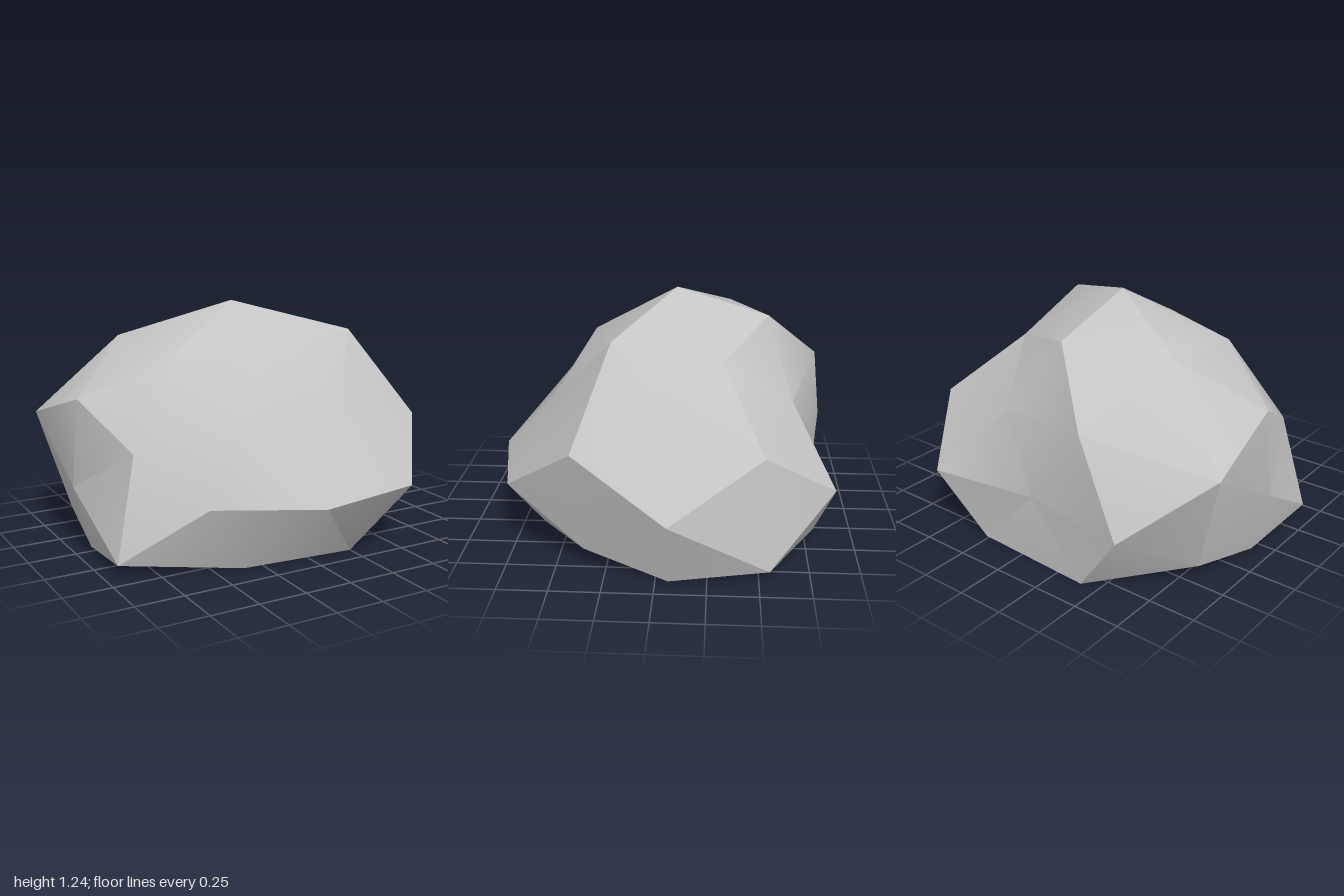
import * as THREE from 'three';
import { toCreasedNormals } from 'three/addons/utils/BufferGeometryUtils.js';

// Radius factor for each direction of a subdivided icosahedron.
// Keys are the unit direction in tenths: "x y z".
const radius = {
  // crown
  '0 10 0': 1.0, '0 9 5': 0.875, '0 9 -5': 0.98,
  '5 8 3': 1.02, '5 8 -3': 0.85, '-5 8 3': 0.895, '-5 8 -3': 0.98,
  // shoulders
  '9 5 0': 0.81, '-9 5 0': 0.95,
  '3 5 8': 0.825, '-3 5 8': 0.81, '3 5 -8': 0.8, '-3 5 -8': 1.01,
  '8 3 5': 0.995, '8 3 -5': 0.965, '-8 3 5': 0.855, '-8 3 -5': 1.065,
  // waist
  '10 0 0': 0.972, '-10 0 0': 0.845, '0 0 10': 1.007, '0 0 -10': 0.78,
  '5 0 9': 1.038, '-5 0 9': 0.86, '5 0 -9': 1.026, '-5 0 -9': 1.038,
  // lower flanks
  '8 -3 5': 0.9, '8 -3 -5': 1.035, '-8 -3 5': 0.995, '-8 -3 -5': 0.89,
  // rim of the flat base
  '9 -5 0': 1.01, '-9 -5 0': 0.9,
  '3 -5 8': 0.92, '-3 -5 8': 0.855, '3 -5 -8': 0.975, '-3 -5 -8': 1.02,
};

const round = (v) => Math.round(v * 1000) / 1000;

function rockGeometry() {
  const geo = new THREE.IcosahedronGeometry(1, 1);
  geo.rotateY(Math.PI / 2);
  geo.deleteAttribute('uv');
  const pos = geo.attributes.position;
  const p = new THREE.Vector3();
  for (let i = 0; i < pos.count; i++) {
    p.fromBufferAttribute(pos, i);
    const key = p.toArray().map((v) => Math.round(v * 10) + 0).join(' ');
    const f = radius[key] ?? 0.9;
    // stretch, push in or out, then flatten the underside on the ground
    pos.setXYZ(i,
      round(-0.06 + p.x * 1.09 * f),
      round(Math.max(0, 0.34 + p.y * 0.9 * f)),
      round(-0.062 + p.z * 0.945 * f));
  }
  return toCreasedNormals(geo, Math.PI / 6);
}

export function createModel() {
  const group = new THREE.Group();
  group.name = 'boulder';
  const stone = new THREE.MeshStandardMaterial({ color: 0xc4c4c4 });
  stone.name = 'stone grey';
  const rock = new THREE.Mesh(rockGeometry(), stone);
  rock.name = 'rock';
  group.add(rock);
  return group;
}
